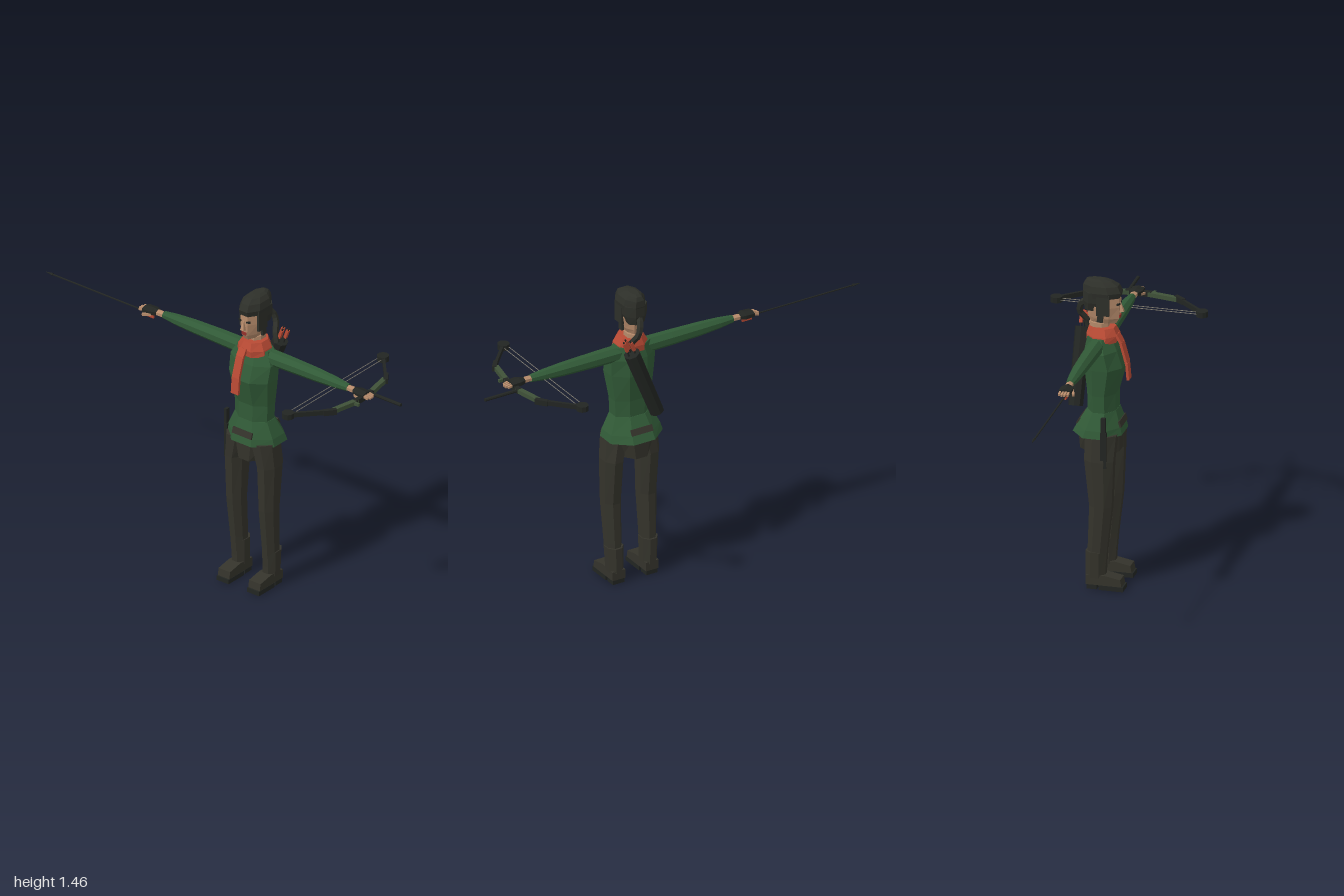
import * as THREE from 'three';

const paint = (name, color) => {
  const m = new THREE.MeshStandardMaterial({ color });
  m.name = name;
  return m;
};
const MAT = {
  green: paint('tunic green', 0x315a37),
  pants: paint('charcoal cloth', 0x34332b),
  hat: paint('dark knit', 0x2d2f29),
  black: paint('black gear', 0x222522),
  skin: paint('skin', 0xb58a6a),
  red: paint('scarf red', 0xb84a34),
  riser: paint('bow green', 0x3f5138),
  string: paint('bow string', 0x7b776c),
  lips: paint('lip red', 0x93302b),
};
const CX = 0.205; // body centre line

export function createModel() {
  const root = new THREE.Group();
  root.name = 'archer';

  function add(name, geo, mat, parent = root) {
    const g = geo.index ? geo.toNonIndexed() : geo;
    g.computeVertexNormals(); // faceted look
    const mesh = new THREE.Mesh(g, mat);
    mesh.name = name;
    parent.add(mesh);
    return mesh;
  }

  // Faceted body through rings given as [y, xMin, xMax, zMin, zMax], from low to high
  function loft(rings, n = 8) {
    const pos = [], idx = [], k = 1 / Math.cos(Math.PI / n), last = (rings.length - 1) * n;
    for (const [y, x0, x1, z0, z1] of rings) {
      for (let i = 0; i < n; i++) {
        const a = (2 * Math.PI * (i + 0.5)) / n;
        pos.push((x0 + x1) / 2 + ((x1 - x0) / 2) * k * Math.sin(a), y,
          (z0 + z1) / 2 + ((z1 - z0) / 2) * k * Math.cos(a));
      }
    }
    for (let j = 0; j < last; j += n) {
      for (let i = 0; i < n; i++) {
        const a = j + i, b = j + ((i + 1) % n);
        idx.push(a, b, b + n, a, b + n, a + n);
      }
    }
    for (let i = 1; i < n - 1; i++) idx.push(0, i + 1, i, last, last + i, last + i + 1);
    const g = new THREE.BufferGeometry();
    g.setAttribute('position', new THREE.Float32BufferAttribute(pos, 3));
    g.setIndex(idx);
    return g;
  }
  const mirrored = (rings, s) => (s > 0 ? rings
    : rings.map(([y, x0, x1, z0, z1]) => [y, 2 * CX - x1, 2 * CX - x0, z0, z1]));

  function box(name, mat, w, h, d, x, y, z, rx = 0) {
    const m = add(name, new THREE.BoxGeometry(w, h, d), mat);
    m.position.set(x, y, z);
    m.rotation.x = rx;
    return m;
  }

  // Straight piece between two points; sides = 0 gives a box, otherwise a rod
  function bar(name, mat, a, b, w, h, sides = 0) {
    const p = new THREE.Vector3(...a), q = new THREE.Vector3(...b), len = p.distanceTo(q);
    const g = sides ? new THREE.CylinderGeometry(h, w, len, sides).rotateX(Math.PI / 2)
      : new THREE.BoxGeometry(w, h, len);
    const m = add(name, g, mat);
    m.position.copy(p).add(q).multiplyScalar(0.5);
    m.lookAt(q);
    return m;
  }

  // Torso and flared tunic hem
  add('tunic', loft([
    [0.83, 0.115, 0.295, -0.06, 0.072], [0.92, 0.11, 0.3, -0.06, 0.07],
    [1.05, 0.094, 0.316, -0.073, 0.104], [1.13, 0.09, 0.32, -0.07, 0.08],
    [1.19, 0.12, 0.29, -0.06, 0.05],
  ]), MAT.green);
  add('tunicHem', loft([
    [0.73, 0.07, 0.342, -0.123, 0.104], [0.765, 0.078, 0.333, -0.105, 0.097],
    [0.84, 0.112, 0.298, -0.062, 0.073],
  ]), MAT.green);
  box('frontPocket', MAT.pants, 0.11, 0.03, 0.008, CX, 0.78, 0.094, -0.3);
  box('backPocket', MAT.pants, 0.11, 0.03, 0.008, CX, 0.78, -0.098, 0.52);

  // Hips, legs and boots
  add('hips', loft([[0.64, 0.135, 0.275, -0.096, 0.086], [0.75, 0.095, 0.315, -0.1, 0.09]]), MAT.pants);
  const bootShape = new THREE.Shape([[-0.045, 0.022], [0.12, 0.022], [0.114, 0.056], [0.04, 0.07], [-0.045, 0.065]]
    .map(([z, y]) => new THREE.Vector2(z, y)));
  for (const s of [1, -1]) {
    const side = s > 0 ? 'left' : 'right', fx = CX + s * 0.0875;
    add(side + 'Leg', loft(mirrored([
      [0.05, 0.262, 0.325, -0.043, 0.038], [0.2, 0.26, 0.332, -0.04, 0.05],
      [0.4, 0.256, 0.34, -0.032, 0.072], [0.62, 0.25, 0.346, -0.055, 0.08],
      [0.74, 0.215, 0.336, -0.055, 0.088],
    ], s)), MAT.pants);
    add(side + 'BootCuff', loft(mirrored([
      [0.055, 0.257, 0.328, -0.05, 0.04], [0.18, 0.256, 0.335, -0.05, 0.046],
    ], s)), MAT.pants);
    const boot = new THREE.ExtrudeGeometry(bootShape, { depth: 0.066, bevelEnabled: false });
    boot.translate(0, 0, -0.033).rotateY(-Math.PI / 2);
    add(side + 'Boot', boot, MAT.pants).position.x = fx;
    box(side + 'Sole', MAT.black, 0.068, 0.022, 0.112, fx, 0.011, 0.071);
    box(side + 'Heel', MAT.black, 0.06, 0.03, 0.046, fx, 0.015, -0.019);

    // Sleeve, wrist and gloved hand, built upright and then turned outward
    const limb = (name, rings, mat, n) =>
      add(name, loft(rings, n).rotateZ((-s * Math.PI) / 2), mat).position.set(CX, 1.155, -0.008);
    limb(side + 'Sleeve', [
      [0.06, -0.035, 0.035, -0.036, 0.036], [0.2, -0.034, 0.034, -0.034, 0.032],
      [0.36, -0.03, 0.03, -0.03, 0.028], [0.46, -0.024, 0.024, -0.024, 0.024],
      [0.53, -0.016, 0.016, -0.016, 0.018],
    ], MAT.green);
    limb(side + 'Wrist', [[0.52, -0.012, 0.012, -0.012, 0.016], [0.575, -0.012, 0.012, -0.014, 0.018]], MAT.skin, 6);
    limb(side + 'Glove', [
      [0.565, -0.013, 0.013, -0.016, 0.02], [0.59, -0.016, 0.016, -0.024, 0.034],
      [0.635, -0.013, 0.013, -0.024, 0.032],
    ], MAT.black, 6);
    for (let i = 0; i < 4; i++) {
      const z = -0.024 + i * 0.013, tip = 0.668 - Math.abs(i - 1.5) * 0.007;
      bar(side + 'Finger', MAT.skin, [CX + s * 0.625, 1.157, z], [CX + s * tip, 1.15, z], 0.009, 0.01);
    }
    bar(side + 'Thumb', MAT.skin, [CX + s * 0.585, 1.15, 0.02], [CX + s * 0.625, 1.142, 0.034], 0.011, 0.011);
  }

  // Head, face and hair
  add('head', loft([
    [1.17, 0.17, 0.24, -0.055, 0.03], [1.25, 0.172, 0.238, -0.058, 0.03],
    [1.25, 0.18, 0.23, -0.05, 0.066], [1.275, 0.167, 0.243, -0.06, 0.08],
    [1.33, 0.157, 0.253, -0.07, 0.083], [1.4, 0.157, 0.253, -0.07, 0.08],
  ]), MAT.skin);
  const nose = add('nose', new THREE.ConeGeometry(0.014, 0.05, 4, 1).rotateY(Math.PI / 4), MAT.skin);
  nose.position.set(CX, 1.33, 0.087);
  nose.rotation.x = -0.15;
  box('lips', MAT.lips, 0.026, 0.014, 0.009, CX, 1.285, 0.081);
  for (const s of [1, -1]) {
    const eye = box('eye', MAT.black, 0.018, 0.008, 0.008, CX + s * 0.023, 1.347, 0.08);
    eye.rotation.y = s * 0.35;
    box('sideHair', MAT.hat, 0.012, 0.1, 0.06, CX + s * 0.049, 1.345, 0.015);
    box('hairLock', MAT.hat, 0.012, 0.07, 0.026, CX + s * 0.047, 1.297, 0.004, 0.12);
  }
  add('backHair', loft([
    [1.31, 0.165, 0.245, -0.077, -0.01], [1.35, 0.152, 0.258, -0.084, 0.02],
    [1.4, 0.15, 0.26, -0.084, 0.03],
  ]), MAT.hat);
  add('cap', loft([
    [1.375, 0.151, 0.259, -0.08, 0.083], [1.4, 0.148, 0.262, -0.085, 0.09],
    [1.43, 0.156, 0.254, -0.084, 0.075], [1.448, 0.172, 0.238, -0.075, 0.045],
    [1.455, 0.187, 0.223, -0.06, 0.01],
  ]), MAT.hat);
  const tail = new THREE.CatmullRomCurve3([[CX, 1.34, -0.075], [0.215, 1.325, -0.1], [0.23, 1.28, -0.112],
    [0.25, 1.235, -0.085], [0.262, 1.19, -0.078]].map((p) => new THREE.Vector3(...p)));
  add('ponytail', new THREE.TubeGeometry(tail, 8, 0.015, 5), MAT.hat);

  // Scarf with a hanging end
  add('scarf', loft([
    [1.165, 0.125, 0.285, -0.065, 0.072], [1.195, 0.132, 0.278, -0.067, 0.075],
    [1.23, 0.152, 0.258, -0.058, 0.058],
  ]), MAT.red);
  const drape = [[0.193, 1.2, 0.072], [0.192, 1.165, 0.093], [0.19, 1.07, 0.12], [0.19, 0.99, 0.127]];
  for (let i = 0; i < 3; i++) bar('scarfEnd', MAT.red, drape[i], drape[i + 1], 0.042, 0.012);

  // Quiver slung across the back, with fletched arrows
  bar('quiver', MAT.black, [0.13, 0.86, -0.104], [0.262, 1.19, -0.104], 0.034, 0.038, 8);
  for (const [dx, dz] of [[0, 0.01], [0.02, -0.008], [-0.012, -0.014]]) {
    bar('quiverArrow', MAT.black, [0.25 + dx, 1.16, -0.1 + dz], [0.288 + dx, 1.262, -0.1 + dz], 0.004, 0.004, 5);
    bar('fletching', MAT.red, [0.268 + dx, 1.21, -0.1 + dz], [0.284 + dx, 1.253, -0.1 + dz], 0.014, 0.014);
  }

  // Knife on the right hip
  box('knifeSheath', MAT.black, 0.018, 0.17, 0.026, 0.074, 0.68, 0.04);
  box('knifeHandle', MAT.black, 0.014, 0.085, 0.02, 0.071, 0.795, 0.04);

  // Arrow in the right hand
  bar('arrowShaft', MAT.black, [-0.38, 1.14, 0], [-0.97, 1.14, 0], 0.004, 0.004, 6);
  bar('arrowHead', MAT.black, [-0.96, 1.14, 0], [-1, 1.14, 0], 0.008, 0.001, 4);
  box('arrowFletching', MAT.red, 0.05, 0.022, 0.006, -0.405, 1.131, 0);
  box('arrowFletching', MAT.red, 0.05, 0.005, 0.022, -0.405, 1.14, 0);

  // Bow held flat in the left hand
  const Y = 1.14;
  bar('bowGrip', MAT.black, [0.825, Y, -0.06], [0.825, Y, 0.06], 0.022, 0.024);
  for (const s of [1, -1]) {
    bar('bowRiser', MAT.riser, [0.825, Y, s * 0.045], [0.797, Y, s * 0.185], 0.024, 0.02);
    bar('limbPocket', MAT.black, [0.812, Y, s * 0.175], [0.775, Y, s * 0.222], 0.02, 0.026);
    bar('bowLimb', MAT.black, [0.805, Y, s * 0.185], [0.672, Y, s * 0.33], 0.013, 0.022);
    add('bowWheel', new THREE.CylinderGeometry(0.028, 0.028, 0.026, 10), MAT.black).position.set(0.664, Y, s * 0.337);
  }
  for (const x of [0.649, 0.673]) {
    bar('bowString', MAT.string, [x, Y, -0.33], [x, Y, 0.33], 0.0018, 0.0018, 5);
  }
  bar('stabilizer', MAT.black, [0.82, Y, -0.05], [1, Y, -0.05], 0.008, 0.008, 8);
  bar('bowSight', MAT.riser, [0.815, Y, 0.068], [0.855, Y, 0.068], 0.012, 0.014);

  return root;
}
